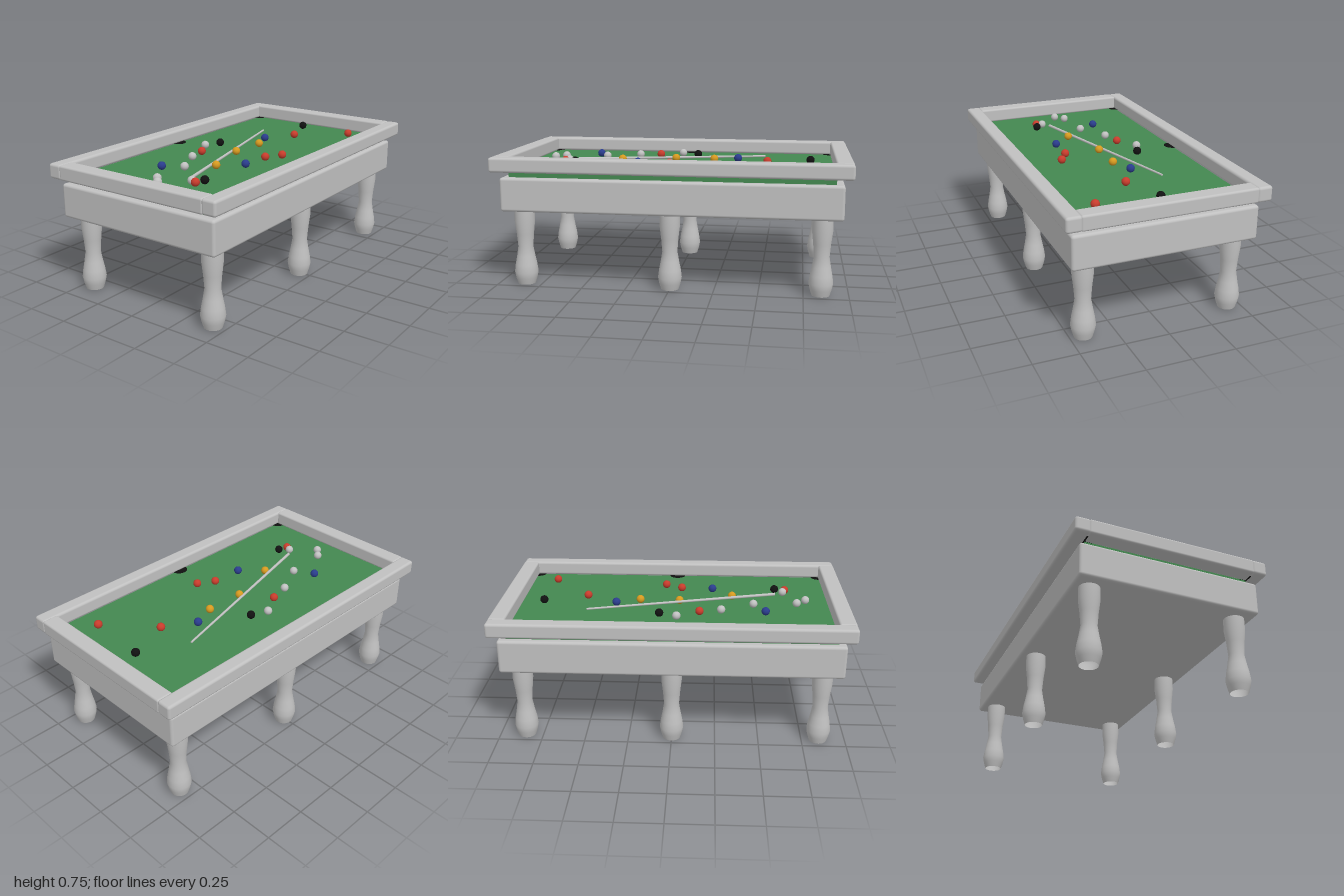
import * as THREE from 'three';
import { RoundedBoxGeometry } from 'three/addons/geometries/RoundedBoxGeometry.js';

const paint = (name, color, side = THREE.FrontSide) => {
  const m = new THREE.MeshStandardMaterial({ color, side });
  m.name = name;
  return m;
};

export function createModel() {
  const model = new THREE.Group();
  model.name = 'poolTable';
  const mats = {
    grey: paint('grey', 0xc0c0c0, THREE.DoubleSide),
    green: paint('feltGreen', 0x448850),
    black: paint('black', 0x111111),
    red: paint('red', 0xc83c2c),
    blue: paint('blue', 0x2a3c8c),
    yellow: paint('yellow', 0xd69a20),
  };
  const add = (name, geometry, material, x, y, z) => {
    const mesh = new THREE.Mesh(geometry, material);
    mesh.name = name;
    mesh.position.set(x, y, z);
    model.add(mesh);
    return mesh;
  };

  // Body and playing bed
  add('body', new RoundedBoxGeometry(1.91, 0.193, 1.04, 3, 0.016), mats.grey, 0, 0.5335, 0);
  add('bed', new THREE.BoxGeometry(1.82, 0.05, 0.96), mats.green, 0, 0.642, 0);

  // Rails: the long ones cover the ends of the short ones
  const longRail = new RoundedBoxGeometry(2, 0.084, 0.086, 3, 0.015);
  const shortRail = new RoundedBoxGeometry(0.095, 0.084, 0.97, 3, 0.012);
  for (const s of [-1, 1]) {
    add('longRail', longRail, mats.grey, 0, 0.707, s * 0.52);
    add('shortRail', shortRail, mats.grey, s * 0.9525, 0.707, 0);
  }

  // Six turned legs, open underneath
  const leg = new THREE.LatheGeometry([
    [0.05, 0], [0.061, 0.035], [0.068, 0.07], [0.062, 0.115], [0.052, 0.165],
    [0.043, 0.22], [0.049, 0.295], [0.058, 0.37], [0.057, 0.45],
  ].map(([r, y]) => new THREE.Vector2(r, y)), 24);
  // Pockets: thin discs partly under the rails
  const pocket = new THREE.CylinderGeometry(0.049, 0.049, 0.003, 24);
  for (const side of [-1, 0, 1]) {
    for (const s of [-1, 1]) {
      add('leg', leg, mats.grey, side * 0.845, 0, s * 0.425);
      add('pocket', pocket, mats.black, side * 0.91, 0.6675, s * 0.487);
    }
  }

  // Balls, as x, z on the bed
  const balls = {
    grey: [[-0.02, -0.255], [-0.275, -0.152], [-0.465, -0.056], [-0.72, -0.035], [-0.775, 0.015], [-0.65, 0.145]],
    red: [[-0.15, -0.18], [0.523, 0.052], [-0.037, 0.2], [0.06, 0.255], [0.753, 0.32], [-0.665, 0.18]],
    blue: [[-0.53, -0.168], [0.342, -0.056], [-0.225, 0.192]],
    black: [[0.08, -0.215], [0.775, -0.035], [-0.604, 0.195]],
    yellow: [[-0.03, -0.013], [0.203, -0.006], [-0.342, 0.072]],
  };
  const ball = new THREE.SphereGeometry(0.024, 20, 14);
  for (const [colour, spots] of Object.entries(balls)) {
    for (const [x, z] of spots) add(colour + 'Ball', ball, mats[colour], x, 0.691, z);
  }

  // Cue stick lying across the bed, tapering to its tip
  const butt = new THREE.Vector3(-0.602, 0.69, 0.109);
  const tip = new THREE.Vector3(0.502, 0.69, -0.175);
  const along = tip.clone().sub(butt);
  const middle = butt.clone().add(tip).multiplyScalar(0.5);
  const cue = add('cue', new THREE.CylinderGeometry(0.006, 0.009, along.length(), 12), mats.grey,
    middle.x, middle.y, middle.z);
  cue.quaternion.setFromUnitVectors(new THREE.Vector3(0, 1, 0), along.normalize());

  return model;
}
